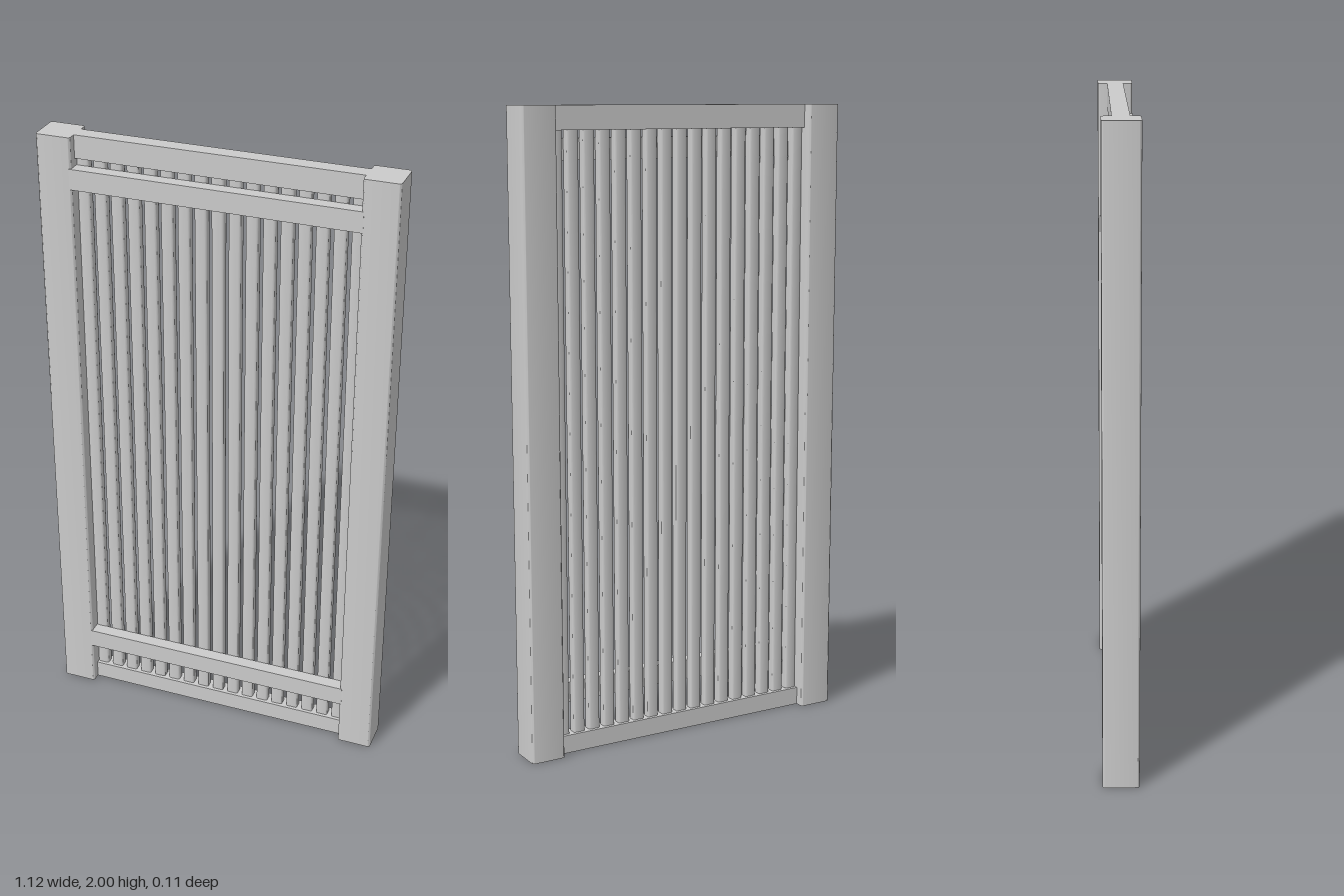
import * as THREE from 'three';
import { toCreasedNormals } from 'three/addons/utils/BufferGeometryUtils.js';

const material = new THREE.MeshStandardMaterial({ color: 0xcccccc });

// Upright bar with rounded vertical edges, standing from y0 to y1
function uprightGeometry(width, depth, radius, y0, y1) {
  const x = width / 2, z = depth / 2, r = radius;
  const shape = new THREE.Shape();
  shape.absarc(x - r, z - r, r, 0, Math.PI / 2);
  shape.absarc(-x + r, z - r, r, Math.PI / 2, Math.PI);
  shape.absarc(-x + r, -z + r, r, Math.PI, Math.PI * 1.5);
  shape.absarc(x - r, -z + r, r, Math.PI * 1.5, Math.PI * 2);
  const geometry = new THREE.ExtrudeGeometry(shape, {
    depth: y1 - y0, bevelEnabled: false, curveSegments: 4,
  });
  geometry.rotateX(-Math.PI / 2).translate(0, y0, 0);
  return toCreasedNormals(geometry, 0.6);
}

export function createModel() {
  const model = new THREE.Group();
  model.name = 'slattedPanel';

  const add = (name, geometry, x = 0) => {
    const mesh = new THREE.Mesh(geometry, material);
    mesh.name = name;
    mesh.position.x = x;
    model.add(mesh);
  };

  const rail = (name, y0, y1, z0, z1, width) => {
    const geometry = new THREE.BoxGeometry(width, y1 - y0, z1 - z0);
    geometry.translate(0, (y0 + y1) / 2, (z0 + z1) / 2);
    add(name, geometry);
  };

  // Side posts
  const post = uprightGeometry(0.111, 0.112, 0.008, 0, 2);
  add('leftPost', post, 0.5025);
  add('rightPost', post, -0.5025);

  // Frame rails between the posts
  rail('topRail', 1.927, 2, -0.026, 0.026, 0.9);
  rail('bottomRail', 0, 0.058, -0.026, 0.026, 0.9);

  // Cross rails on the front of the slats
  rail('upperFrontRail', 1.838, 1.903, 0.014, 0.0565, 0.908);
  rail('lowerFrontRail', 0.152, 0.215, 0.014, 0.0565, 0.908);

  // Vertical slats
  const slat = uprightGeometry(0.038, 0.03, 0.006, 0.03, 1.95);
  for (let i = -8; i <= 8; i++) add('slat', slat, i * 0.0535);

  return model;
}
